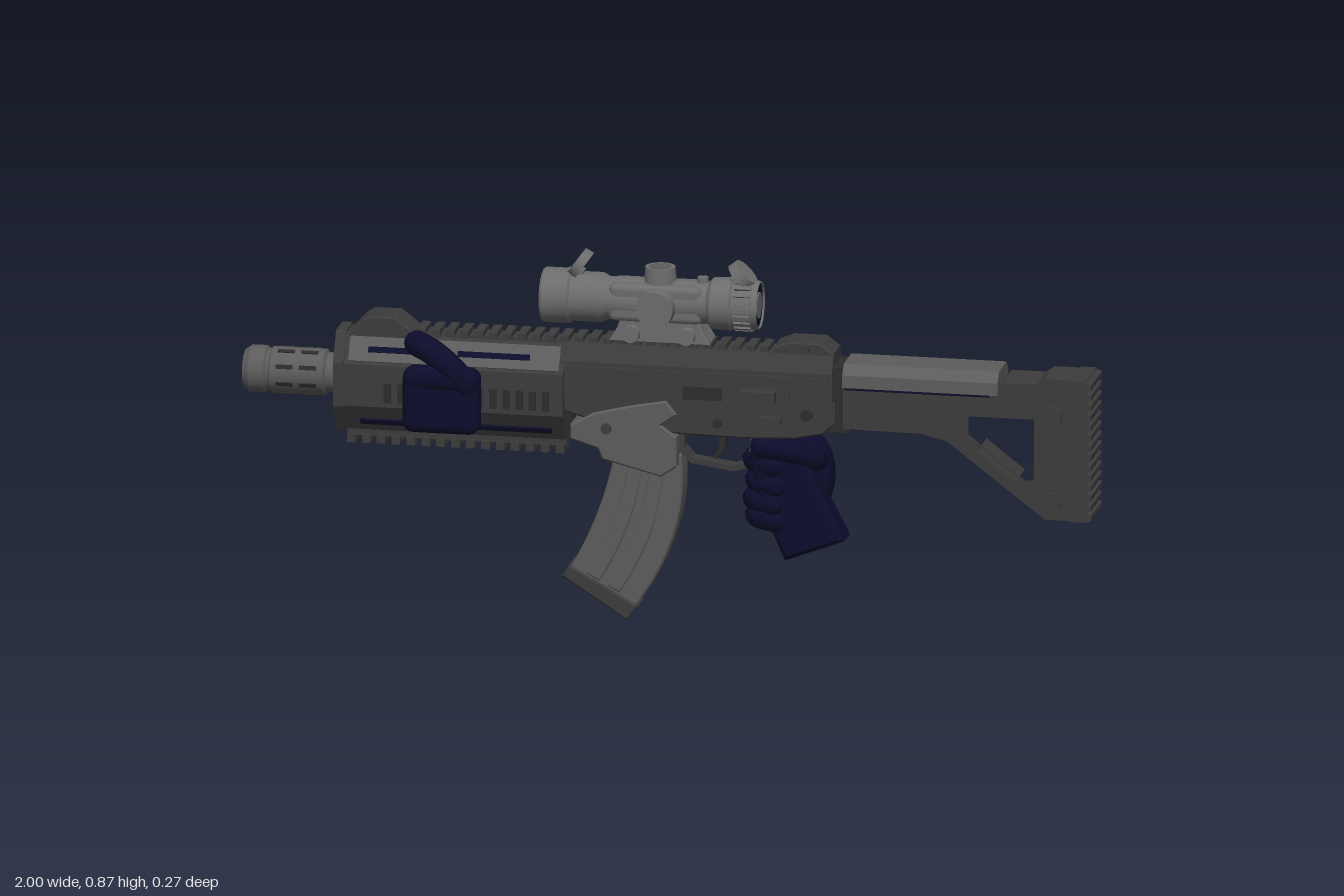
import * as THREE from 'three';
import { toCreasedNormals } from 'three/addons/utils/BufferGeometryUtils.js';
import { RoundedBoxGeometry } from 'three/addons/geometries/RoundedBoxGeometry.js';

const mat = (name, color) => {
  const m = new THREE.MeshStandardMaterial({ color });
  m.name = name;
  return m;
};

export function createModel() {
  const dark = mat('dark grey', 0x3c3c3c);
  const darker = mat('charcoal', 0x2c2c2c);
  const mid = mat('mid grey', 0x5c5c5c);
  const pale = mat('scope grey', 0x6c6c6c);
  const navy = mat('navy', 0x0c0c2c);

  const root = new THREE.Group();
  const gun = new THREE.Group();
  gun.name = 'body';
  gun.position.z = -0.014;
  root.add(gun);

  const add = (name, geo, m, parent = gun) => {
    const mesh = new THREE.Mesh(geo, m);
    mesh.name = name;
    parent.add(mesh);
    return mesh;
  };
  const vec = (p) => p.map(([x, y]) => new THREE.Vector2(x, y));
  // side outline extruded from z0 to z1
  const slab = (shape, z0, z1, bevel = 0, crease = 0.5) => {
    const g = new THREE.ExtrudeGeometry(shape, {
      depth: z1 - z0 - 2 * bevel, bevelEnabled: bevel > 0, bevelSize: bevel,
      bevelThickness: bevel, bevelOffset: -bevel, bevelSegments: bevel > 0.01 ? 4 : 1, curveSegments: 10,
    });
    g.translate(0, 0, z0 + bevel);
    return toCreasedNormals(g, crease);
  };
  const poly = (pts, ...holes) => {
    const s = new THREE.Shape(vec(pts));
    holes.forEach((h) => s.holes.push(new THREE.Path(vec(h))));
    return s;
  };
  const plate = (name, pts, half, m, bevel = 0.004) => add(name, slab(poly(pts), -half, half, bevel), m);
  // symmetric cross-section, given as [z, y] for one side, run along x
  const beam = (name, side, x0, x1, m) => {
    const pts = [...side, ...side.map(([z, y]) => [-z, y]).reverse()];
    const g = new THREE.ExtrudeGeometry(poly(pts), { depth: x1 - x0, bevelEnabled: false });
    g.rotateY(Math.PI / 2).translate(x0, 0, 0);
    return add(name, g, m);
  };
  const box = (name, x0, x1, y0, y1, z0, z1, m) => {
    const b = add(name, new THREE.BoxGeometry(x1 - x0, y1 - y0, z1 - z0), m);
    b.position.set((x0 + x1) / 2, (y0 + y1) / 2, (z0 + z1) / 2);
    return b;
  };
  // turned part along x, points are [x, radius]
  const turned = (name, pts, y, m) => {
    const g = new THREE.LatheGeometry(vec(pts.map(([x, r]) => [r, x])), 28);
    g.rotateZ(-Math.PI / 2).translate(0, y, 0);
    return add(name, toCreasedNormals(g, 0.5), m);
  };
  const knob = (name, x, y, z, r, h, m, axis = 'z') => {
    const g = new THREE.CylinderGeometry(r * 0.93, r, h, 20);
    if (axis === 'z') g.rotateX(z < 0 ? -Math.PI / 2 : Math.PI / 2);
    const k = add(name, g, m);
    k.position.set(x, y, z);
    return k;
  };
  const teeth = (name, x0, x1, y0, y1, half, m) => {
    const n = Math.round((x1 - x0) / 0.034);
    for (let i = 0; i < n; i++) {
      const x = x0 + ((x1 - x0) * i) / n;
      box(name, x, x + 0.02, y0, y1, -half, half, m);
    }
  };

  // muzzle with a bore and slots
  turned('muzzle', [[-0.95, 0], [-0.95, 0.025], [-1, 0.025], [-1, 0.045], [-0.985, 0.055], [-0.95, 0.055],
    [-0.945, 0.049], [-0.938, 0.049], [-0.935, 0.054], [-0.81, 0.054], [-0.805, 0.046], [-0.77, 0.046]], 0.547, mid);
  for (let i = 0; i < 8; i++) {
    const a = (i + 0.5) * Math.PI / 4;
    for (const x of [-0.9, -0.845]) {
      const s = box('muzzleSlot', x - 0.02, x + 0.02, -0.005, 0.005, -0.003, 0.003, darker);
      s.position.set(x, 0.547 + Math.sin(a) * 0.053, Math.cos(a) * 0.053);
      s.rotation.x = -a;
    }
  }

  // handguard
  const ring = [[0.035, 0.425], [0.075, 0.49], [0.075, 0.59], [0.035, 0.655]];
  beam('handguard', ring, -0.77, -0.24, dark);
  beam('handguardCollar', ring.map(([z, y]) => [z * 1.04, 0.54 + (y - 0.54) * 1.04]), -0.78, -0.755, dark);
  for (const s of [1, -1]) {
    const strip = (name, x0, x1, y, z, h, t, tilt, m) => {
      const b = box(name, x0, x1, -h / 2, h / 2, -t / 2, t / 2, m);
      b.position.y = y;
      b.position.z = s * z;
      b.rotation.x = -s * tilt;
    };
    strip('handguardPanel', -0.745, -0.25, 0.622, 0.056, 0.06, 0.008, 0.55, mid);
    strip('upperSlot', -0.7, -0.52, 0.622, 0.058, 0.014, 0.008, 0.55, navy);
    strip('upperSlot', -0.49, -0.32, 0.622, 0.058, 0.014, 0.008, 0.55, navy);
    strip('lowerSlot', -0.72, -0.27, 0.45, 0.052, 0.014, 0.008, -0.55, navy);
    for (let i = 0; i < 13; i++) {
      const x = -0.66 + i * 0.031;
      strip('sideRib', x, x + 0.016, 0.525, 0.076, 0.045, 0.008, 0, darker);
    }
  }
  box('lowerRail', -0.755, -0.24, 0.408, 0.43, -0.028, 0.028, dark);
  teeth('lowerRailTooth', -0.755, -0.23, 0.392, 0.412, 0.036, dark);
  box('topRail', -0.62, 0.25, 0.645, 0.66, -0.03, 0.03, dark);
  teeth('topRailTooth', -0.59, 0.25, 0.655, 0.672, 0.036, dark);

  // folded sights
  plate('frontSight', [[-0.75, 0.64], [-0.75, 0.655], [-0.72, 0.688], [-0.7, 0.698], [-0.64, 0.698], [-0.59, 0.66], [-0.59, 0.64]], 0.042, dark);
  plate('rearSight', [[0.24, 0.65], [0.25, 0.675], [0.285, 0.688], [0.36, 0.688], [0.39, 0.665], [0.39, 0.65]], 0.042, dark);
  knob('sightDial', 0.32, 0.675, 0.046, 0.014, 0.02, dark);

  // receiver
  beam('upperReceiver', [[0.06, 0.53], [0.06, 0.62], [0.042, 0.66]], -0.25, 0.39, dark);
  plate('lowerReceiver', [[-0.25, 0.55], [-0.25, 0.5], [-0.1, 0.46], [0.18, 0.455], [0.3, 0.46], [0.37, 0.475], [0.395, 0.5], [0.395, 0.55]], 0.056, dark);
  for (const s of [1, -1]) {
    const z = (a, b) => [Math.min(s * a, s * b), Math.max(s * a, s * b)];
    box('receiverRidge', -0.24, 0.38, 0.598, 0.61, ...z(0.055, 0.067), dark);
    box('boltCover', 0.04, 0.13, 0.545, 0.575, ...z(0.055, 0.066), darker);
    box('sidePlate', 0.19, 0.29, 0.54, 0.58, ...z(0.055, 0.066), dark);
    box('selector', 0.22, 0.27, 0.498, 0.512, ...z(0.055, 0.072), dark);
    knob('receiverPin', 0.33, 0.52, s * 0.06, 0.014, 0.014, darker);
    knob('receiverPin', 0.12, 0.49, s * 0.06, 0.011, 0.014, darker);
  }
  box('chargingHandle', 0.18, 0.26, 0.553, 0.577, 0.05, 0.092, dark);
  plate('magazineWell', [[-0.225, 0.47], [-0.17, 0.5], [-0.08, 0.522], [0, 0.538], [0.025, 0.505], [-0.012, 0.478], [0.025, 0.452],
    [0.025, 0.38], [-0.012, 0.355], [-0.15, 0.39], [-0.16, 0.415], [-0.225, 0.435]], 0.064, mid);
  for (const s of [1, -1]) knob('wellPin', -0.14, 0.465, s * 0.064, 0.013, 0.014, dark);

  // trigger and guard
  add('triggerGuard', slab(poly([[0.02, 0.47], [0.02, 0.41], [0.05, 0.38], [0.15, 0.365], [0.2, 0.38], [0.2, 0.47]],
    [[0.035, 0.455], [0.19, 0.455], [0.185, 0.39], [0.15, 0.378], [0.055, 0.392], [0.035, 0.415]]), -0.018, 0.018), dark);
  plate('trigger', [[0.11, 0.46], [0.115, 0.42], [0.1, 0.39], [0.112, 0.392], [0.13, 0.42], [0.132, 0.46]], 0.01, darker, 0.002);

  // curved magazine, u across and v downwards
  const curve = (a, b, c) => new THREE.QuadraticBezierCurve(...vec([a, b, c]));
  const front = curve([-0.12, 0.44], [-0.1475, 0.2525], [-0.245, 0.095]);
  const back = curve([0.03, 0.4], [0.055, 0.1975], [-0.1, 0.002]);
  const magStrip = (u0, u1, v0, v1) => {
    const at = (u, v) => front.getPoint(v).lerp(back.getPoint(v), u);
    const a = [], b = [];
    for (let i = 0; i <= 10; i++) {
      const v = v0 + ((v1 - v0) * i) / 10;
      a.push(at(u0, v));
      b.unshift(at(u1, v));
    }
    return new THREE.Shape([...a, ...b]);
  };
  add('magazine', slab(magStrip(0, 1, 0, 0.98), -0.034, 0.034, 0.004), mid);
  add('magazineRib', slab(magStrip(0.22, 0.42, 0, 0.9), -0.038, 0.038, 0.003), mid);
  add('magazineRib', slab(magStrip(0.52, 0.72, 0, 0.9), -0.038, 0.038, 0.003), mid);
  add('magazineBase', slab(magStrip(-0.03, 1.02, 0.91, 1), -0.039, 0.039, 0.004), dark);

  // stock
  box('stockHinge', 0.38, 0.43, 0.48, 0.635, -0.05, 0.05, darker);
  add('stockFrame', slab(poly([[0.415, 0.6], [0.77, 0.6], [0.79, 0.622], [0.87, 0.622], [0.89, 0.636], [0.985, 0.636], [0.985, 0.3],
    [0.89, 0.3], [0.66, 0.475], [0.6, 0.49], [0.415, 0.492]],
  [[0.71, 0.538], [0.865, 0.538], [0.865, 0.395], [0.845, 0.39], [0.71, 0.495]],
  [[0.73, 0.455], [0.82, 0.385], [0.826, 0.395], [0.736, 0.467]]), -0.058, 0.058), dark);
  beam('cheekRest', [[0.066, 0.592], [0.066, 0.622], [0.045, 0.645]], 0.415, 0.78, mid);
  box('cheekSeam', 0.42, 0.76, 0.586, 0.593, -0.062, 0.062, navy);
  const pad = [[0.95, 0.636], [0.95, 0.3]];
  for (let i = 0; i < 14; i++) {
    const y = 0.3 + i * 0.024;
    pad.push([0.988, y], [1, y + 0.004], [1, y + 0.016], [0.988, y + 0.02]);
  }
  pad.push([0.985, 0.636]);
  plate('buttPad', pad, 0.067, dark, 0);
  for (const s of [1, -1]) for (const y of [0.55, 0.345]) knob('stockScrew', 0.91, y, s * 0.058, 0.022, 0.014, dark);

  // scope
  const sy = 0.761;
  turned('scopeTube', [[-0.29, 0], [-0.29, 0.054], [-0.3, 0.054], [-0.3, 0.06], [-0.295, 0.064], [-0.235, 0.064], [-0.23, 0.058],
    [-0.16, 0.058], [-0.145, 0.05], [0.09, 0.05], [0.1, 0.06], [0.145, 0.062], [0.15, 0.056], [0.2, 0.058], [0.21, 0.056],
    [0.21, 0.053], [0.2, 0.053], [0.2, 0]], sy, pale);
  for (const [x, e] of [[-0.291, -0.003], [0.201, 0.003]]) {
    for (const [n, r, m, o] of [['lensRing', 0.053, navy, 0], ['lens', 0.031, pale, e]]) {
      const g = new THREE.CylinderGeometry(r, r, 0.008, 28).rotateZ(Math.PI / 2);
      add(n, g, m).position.set(x + o, sy, 0);
    }
  }
  for (let i = 0; i < 20; i++) {
    const a = (i * Math.PI) / 10;
    const k = box('scopeGrip', 0.155, 0.195, -0.005, 0.005, -0.004, 0.004, pale);
    k.position.set(0.175, sy + Math.sin(a) * 0.058, Math.cos(a) * 0.058);
    k.rotation.x = -a;
  }
  add('scopeHousing', new RoundedBoxGeometry(0.22, 0.09, 0.094, 2, 0.015), pale).position.set(-0.03, sy, 0);
  knob('sideTurret', -0.025, 0.757, 0.058, 0.046, 0.04, pale);
  knob('topTurret', -0.025, 0.822, 0, 0.038, 0.04, pale, 'y');
  knob('topTurretCap', -0.025, 0.835, 0, 0.028, 0.016, mid, 'y');
  knob('scopeKnob', 0.075, 0.812, 0, 0.014, 0.02, pale, 'y');
  plate('scopeMount', [[-0.14, 0.668], [-0.12, 0.7], [-0.11, 0.73], [0.07, 0.73], [0.08, 0.7], [0.1, 0.668]], 0.04, pale);
  for (const x of [-0.085, 0.045]) {
    knob('mountClamp', x, 0.69, 0.046, 0.021, 0.024, pale);
    knob('mountNut', x, 0.69, -0.042, 0.016, 0.014, pale);
  }
  for (const [x, y, a] of [[-0.213, 0.84, 0.94], [0.17, 0.832, -0.8]]) {
    knob('lensCover', x, y, 0, 0.038, 0.022, pale, 'y').rotation.z = a;
    box('coverHinge', x - 0.03, x + 0.01, 0.805, 0.825, -0.016, 0.016, pale);
  }

  // gloved hands
  const finger = (name, pts, r, parent) => {
    const p = pts.map((q) => new THREE.Vector3(...q));
    add(name, new THREE.TubeGeometry(new THREE.CatmullRomCurve3(p), 18, r, 10), navy, parent);
    for (const end of [p[0], p[p.length - 1]]) add(name + 'End', new THREE.SphereGeometry(r, 10, 8), navy, parent).position.copy(end);
  };
  const rear = new THREE.Group();
  rear.name = 'rearHand';
  root.add(rear);
  add('grip', slab(poly([[0.2, 0.46], [0.31, 0.44], [0.36, 0.32], [0.414, 0.216], [0.275, 0.163], [0.262, 0.19], [0.215, 0.3], [0.19, 0.4]]),
    -0.057, 0.03, 0.01), navy, rear);
  const palm = new THREE.Shape().moveTo(0.2, 0.45).splineThru(vec([[0.28, 0.465], [0.345, 0.425], [0.37, 0.36],
    [0.36, 0.29], [0.32, 0.24], [0.24, 0.25], [0.205, 0.32], [0.2, 0.45]]));
  add('palm', slab(palm, -0.122, -0.035, 0.025, 1), navy, rear);
  [0.392, 0.345, 0.3, 0.26].forEach((y, i) => {
    const x = 0.198 + (i % 2) * 0.006;
    finger('finger', [[0.31, y + 0.01, -0.1], [x + 0.03, y + 0.005, -0.105], [x, y, -0.05], [x, y, -0.005], [x + 0.05, y - 0.005, 0.016]], 0.027, rear);
  });
  finger('indexFinger', [[0.31, 0.435, -0.1], [0.23, 0.445, -0.105], [0.18, 0.445, -0.095]], 0.025, rear);
  finger('thumb', [[0.335, 0.385, -0.07], [0.335, 0.4, -0.01], [0.29, 0.425, 0.022], [0.22, 0.435, 0.026]], 0.027, rear);

  const fore = new THREE.Group();
  fore.name = 'frontHand';
  root.add(fore);
  add('palm', new RoundedBoxGeometry(0.18, 0.155, 0.07, 4, 0.026), navy, fore).position.set(-0.52, 0.522, 0.081);
  finger('thumb', [[-0.46, 0.565, 0.095], [-0.5, 0.61, 0.102], [-0.545, 0.636, 0.08], [-0.585, 0.645, 0.05]], 0.03, fore);
  finger('knuckle', [[-0.58, 0.575, 0.09], [-0.52, 0.58, 0.1], [-0.46, 0.575, 0.095]], 0.03, fore);

  return root;
}
